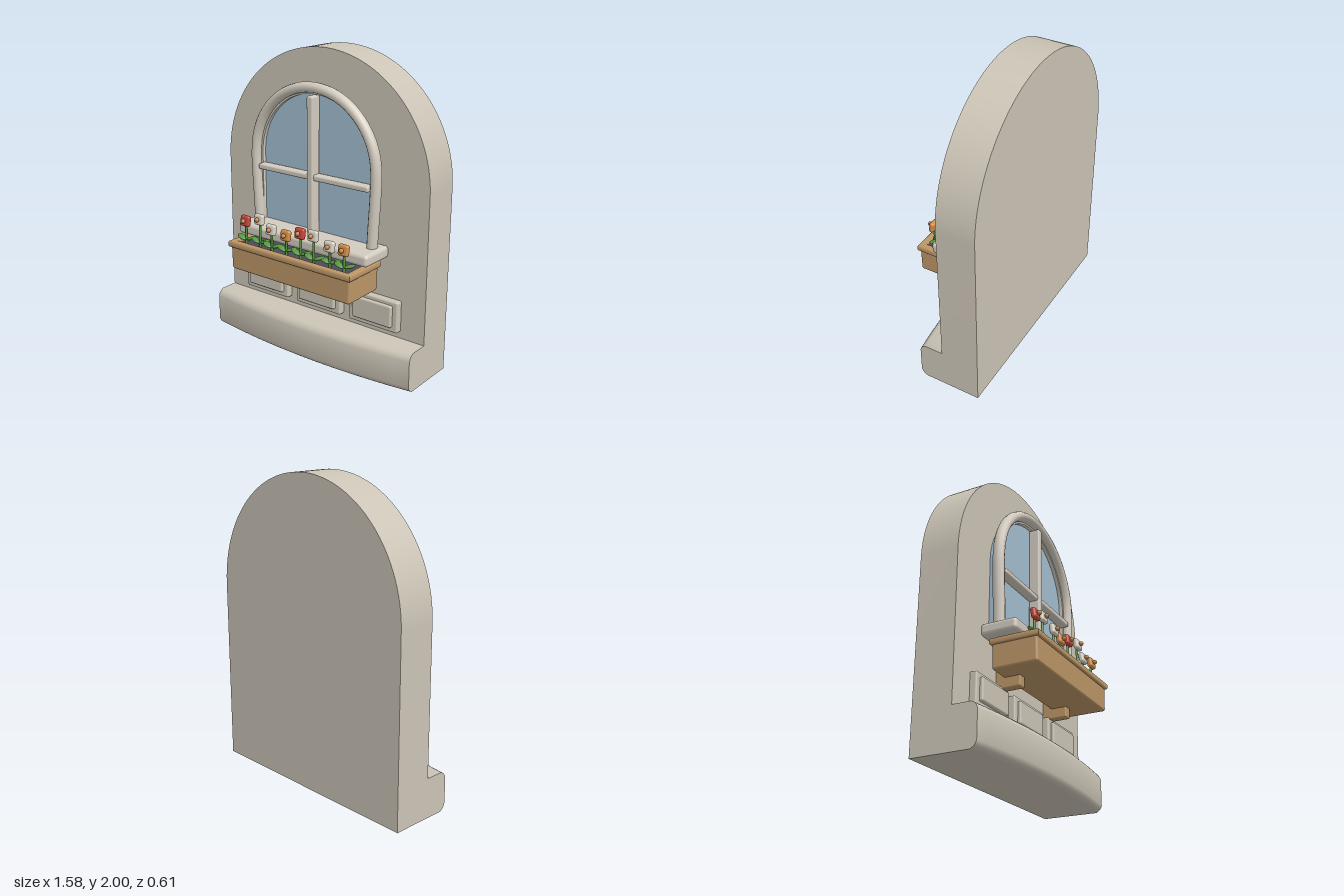
import * as THREE from 'three';
import { toCreasedNormals } from 'three/addons/utils/BufferGeometryUtils.js';
import { RoundedBoxGeometry } from 'three/addons/geometries/RoundedBoxGeometry.js';

const mat = (name, color) => {
  const m = new THREE.MeshStandardMaterial({ color });
  m.name = name;
  return m;
};

// Outline of a window shape: straight sides, semicircular top
function archShape(r, bottom, spring, Type = THREE.Shape) {
  const s = new Type();
  s.moveTo(-r, bottom);
  s.lineTo(r, bottom);
  s.lineTo(r, spring);
  s.absarc(0, spring, r, 0, Math.PI, false);
  s.lineTo(-r, bottom);
  return s;
}

function rectPath(x0, x1, y0, y1, Type) {
  const s = new Type();
  s.moveTo(x0, y0);
  s.lineTo(x1, y0);
  s.lineTo(x1, y1);
  s.lineTo(x0, y1);
  s.closePath();
  return s;
}

// Flat extrusion running from z0 to z1
function slab(shape, z0, z1) {
  const g = new THREE.ExtrudeGeometry(shape, { depth: z1 - z0, bevelEnabled: false, curveSegments: 40 });
  g.translate(0, 0, z0);
  return toCreasedNormals(g, 0.5);
}

export function createModel() {
  const root = new THREE.Group();
  root.name = 'archedWindow';
  const stone = mat('stone', 0xcbc4b6);
  const trim = mat('trim', 0xd2cbbf);
  const glass = mat('glass', 0xa3bdd0);
  const wood = mat('wood', 0xbb9566);
  const soil = mat('soil', 0x4c4c5a);
  const green = mat('leafGreen', 0x57983f);
  const red = mat('redPetal', 0xc4443c);
  const cream = mat('creamPetal', 0xd9d1c4);
  const orange = mat('orangePetal', 0xd08c48);
  const gold = mat('flowerCentre', 0xc48a4a);

  const add = (name, geo, material, parent = root) => {
    const m = new THREE.Mesh(geo, material);
    m.name = name;
    parent.add(m);
    return m;
  };
  // Rounded box given by its limits
  const box = (name, material, x0, x1, y0, y1, z0, z1, r = 0.012) => {
    const m = add(name, new RoundedBoxGeometry(x1 - x0, y1 - y0, z1 - z0, 3, r), material);
    m.position.set((x0 + x1) / 2, (y0 + y1) / 2, (z0 + z1) / 2);
    return m;
  };

  // Wall
  add('wall', slab(archShape(0.79, 0.26, 1.21), -0.305, -0.05), stone);

  // Plinth: bevelled profile swept along x, its front bowed outward
  const profile = new THREE.Shape();
  profile.moveTo(-0.305, 0);
  profile.lineTo(0.13, 0);
  profile.quadraticCurveTo(0.162, 0.012, 0.17, 0.045);
  profile.lineTo(0.17, 0.215);
  profile.quadraticCurveTo(0.162, 0.248, 0.13, 0.26);
  profile.lineTo(-0.305, 0.26);
  profile.closePath();
  const plinth = new THREE.ExtrudeGeometry(profile, { depth: 1.58, steps: 20, bevelEnabled: false, curveSegments: 4 });
  plinth.rotateY(-Math.PI / 2);
  plinth.translate(0.79, 0, 0);
  const pp = plinth.attributes.position;
  for (let i = 0; i < pp.count; i++) {
    const u = pp.getX(i) / 0.79;
    if (pp.getZ(i) > 0) pp.setZ(i, pp.getZ(i) - 0.06 * u * u);
  }
  add('plinth', toCreasedNormals(plinth, 0.6), stone);

  // Glass and its inner lining
  add('glass', slab(archShape(0.43, 0.8, 1.3), -0.05, 0), glass);
  const lining = archShape(0.455, 0.83, 1.3);
  lining.holes.push(archShape(0.425, 0.835, 1.3, THREE.Path));
  add('frameLining', slab(lining, 0, 0.025), trim);

  // Arched frame: tube drawn in slightly at its feet
  const pts = [];
  for (const [x, y] of [[0.45, 0.83], [0.457, 0.98], [0.466, 1.14]]) pts.push(new THREE.Vector3(x, y, 0));
  for (let i = 0; i <= 12; i++) {
    const a = (Math.PI * i) / 12;
    pts.push(new THREE.Vector3(0.47 * Math.cos(a), 1.3 + 0.468 * Math.sin(a), 0));
  }
  for (let i = 2; i >= 0; i--) pts.push(new THREE.Vector3(-pts[i].x, pts[i].y, 0));
  const frame = new THREE.TubeGeometry(new THREE.CatmullRomCurve3(pts), 80, 0.033, 12);
  frame.scale(1, 1, 1.15);
  frame.translate(0, 0, 0.034);
  add('archedFrame', frame, trim);

  // Glazing bars and sill
  box('verticalBar', trim, -0.024, 0.024, 0.83, 1.72, 0, 0.077);
  box('horizontalBar', trim, -0.432, 0.432, 1.192, 1.23, 0, 0.066);
  box('sill', trim, -0.515, 0.515, 0.768, 0.847, -0.06, 0.182, 0.025);

  // Raised panels under the window
  for (const x of [-0.437, 0, 0.437]) {
    box('panel', stone, x - 0.182, x + 0.182, 0.303, 0.51, -0.08, -0.006);
    box('panelField', stone, x - 0.147, x + 0.147, 0.338, 0.483, -0.03, 0.016);
  }

  // Planter: tapered body, open rim, soil and brackets
  const body = new RoundedBoxGeometry(0.95, 0.165, 0.295, 3, 0.015);
  const bp = body.attributes.position;
  for (let i = 0; i < bp.count; i++) bp.setX(i, bp.getX(i) * (1 + 0.06 * bp.getY(i)));
  add('planterBody', body, wood).position.set(0, 0.645, 0.147);
  const rim = rectPath(-0.475, 0.475, -0.297, 0, THREE.Shape);
  rim.holes.push(rectPath(-0.45, 0.45, -0.275, -0.03, THREE.Path));
  const rimGeo = new THREE.ExtrudeGeometry(rim, { depth: 0.02, bevelThickness: 0.011, bevelSize: 0.011, bevelSegments: 3 });
  rimGeo.rotateX(-Math.PI / 2);
  rimGeo.translate(0, 0.724, 0);
  add('planterRim', toCreasedNormals(rimGeo, 0.7), wood);
  add('soil', new THREE.BoxGeometry(0.9, 0.02, 0.245), soil).position.set(0, 0.726, 0.1525);
  for (const x of [-0.304, 0.3]) box('bracket', wood, x - 0.03, x + 0.03, 0.497, 0.645, -0.06, 0.11, 0.008);

  // Flowers: x, head height, depth, petal colour
  const flowers = [
    [-0.393, 0.892, 0.24, red], [-0.281, 0.922, 0.232, cream], [-0.169, 0.882, 0.248, cream],
    [-0.058, 0.866, 0.238, orange], [0.055, 0.905, 0.236, red], [0.167, 0.917, 0.248, cream],
    [0.279, 0.87, 0.232, cream], [0.391, 0.876, 0.24, orange],
  ];
  const headGeo = new RoundedBoxGeometry(0.074, 0.072, 0.034, 3, 0.015);
  const centreGeo = new THREE.SphereGeometry(0.015, 12, 8);
  const leafGeo = new THREE.SphereGeometry(1, 10, 6);
  leafGeo.scale(0.04, 0.009, 0.023);
  for (const [x, y, z, petal] of flowers) {
    const f = new THREE.Group();
    f.name = 'flower';
    f.position.set(x, 0, z);
    root.add(f);
    const h = y - 0.73;
    add('stem', new THREE.CylinderGeometry(0.008, 0.009, h, 8), green, f).position.set(0, 0.73 + h / 2, -0.005);
    const head = new THREE.Group();
    head.name = 'flowerHead';
    head.position.y = y;
    head.rotation.x = -0.15;
    f.add(head);
    add('petals', headGeo, petal, head);
    add('flowerCentre', centreGeo, gold, head).position.z = 0.026;
    for (const s of [-1, 1]) {
      const leaf = add('leaf', leafGeo, green, f);
      leaf.position.set(s * 0.034, 0.776, -0.008 - s * 0.006);
      leaf.rotation.set(0.2, s * 0.2, s * 0.25);
    }
  }
  return root;
}
